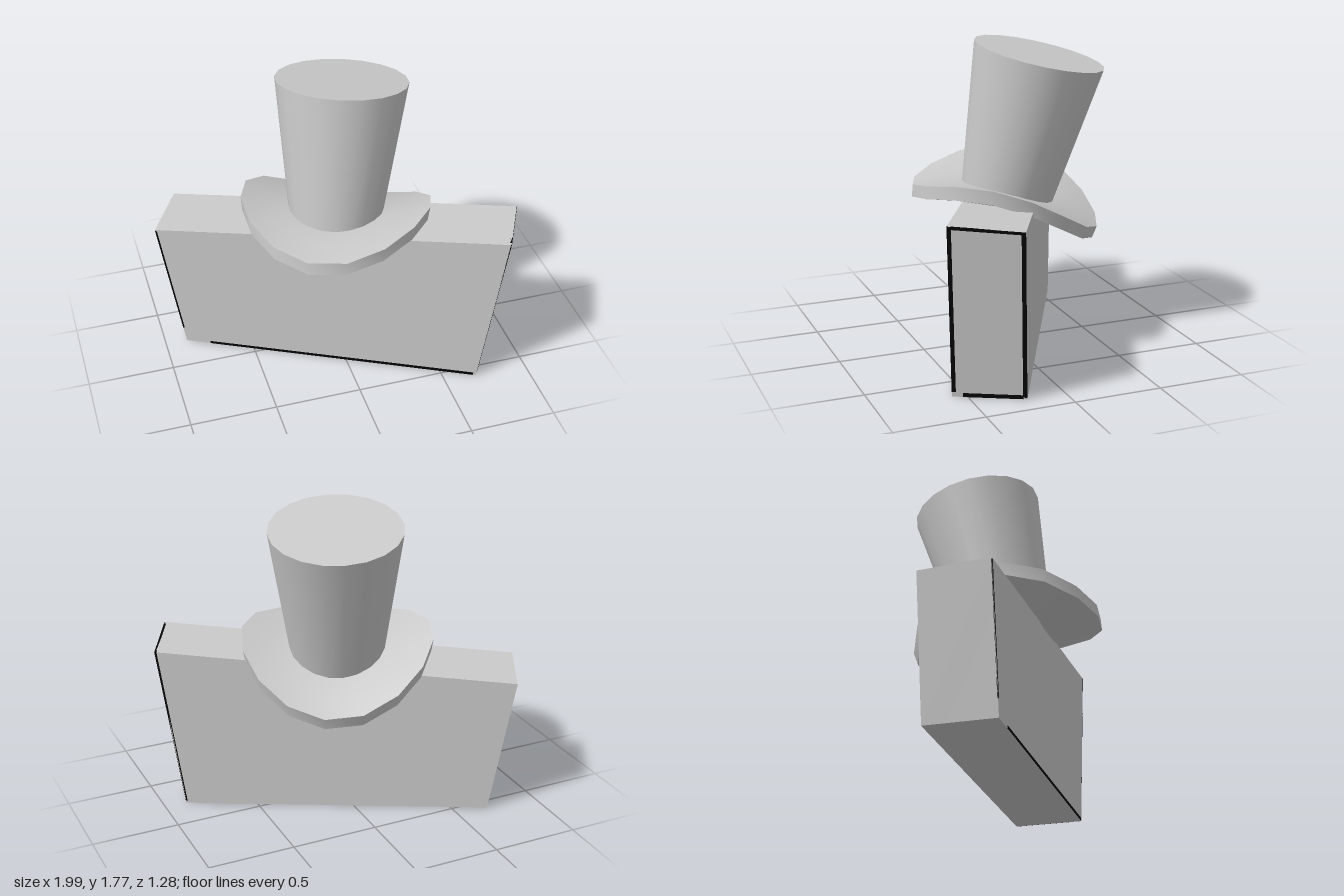
import * as THREE from 'three';
import { toCreasedNormals } from 'three/addons/utils/BufferGeometryUtils.js';

const deg = Math.PI / 180;
const TURN = 27 * deg; // heading of the block, shared by the brim's curl

const grey = new THREE.MeshStandardMaterial({ color: 0xcccccc });
const dark = new THREE.MeshStandardMaterial({ color: 0x050505 });

function addMesh(parent, name, geometry, material = grey) {
  const mesh = new THREE.Mesh(geometry, material);
  mesh.name = name;
  parent.add(mesh);
  return mesh;
}

// Move every vertex of a geometry by a rule
function reshape(geometry, rule) {
  const pos = geometry.attributes.position;
  const v = new THREE.Vector3();
  for (let i = 0; i < pos.count; i++) {
    v.fromBufferAttribute(pos, i);
    rule(v);
    pos.setXYZ(i, v.x, v.y, v.z);
  }
  return toCreasedNormals(geometry, 40 * deg);
}

// Maps x, z in [-1, 1] and y in [0, 1] to the flared block with its sloping top
function flare(v) {
  const halfLength = THREE.MathUtils.lerp(0.877, 1.015, v.y);
  const height = 0.885 + 0.083 * v.x + 0.01 * v.z;
  v.set(v.x * halfLength, v.y * height, v.z * 0.2);
}

function flaredBox([x0, x1], [y0, y1], [z0, z1]) {
  const box = new THREE.BoxGeometry(x1 - x0, y1 - y0, z1 - z0);
  box.translate((x0 + x1) / 2, (y0 + y1) / 2, (z0 + z1) / 2);
  return reshape(box, flare);
}

function createHead() {
  const head = new THREE.Group();
  head.name = 'head';
  head.rotation.y = -TURN;
  addMesh(head, 'block', flaredBox([-1, 1], [0, 1], [-1, 1]));

  // Thin dark edging around one end and along the front edges
  const end = [0.99, 1.002];
  const front = [0.98, 1.01];
  const strips = {
    endFrontEdge: [end, [0.03, 1], [0.89, 1]],
    endBackEdge: [end, [0.01, 1], [-1, -0.89]],
    endTopEdge: [end, [0.983, 1], [-0.9, 0.9]],
    endBottomEdge: [end, [0, 0.024], [-0.9, 0.7]],
    frontBottomEdge: [[-0.83, 0.98], [0, 0.018], front],
    frontSideEdge: [[-1, -0.99], [0.12, 0.99], front],
  };
  for (const [name, ranges] of Object.entries(strips)) {
    addMesh(head, name, flaredBox(...ranges), dark);
  }
  return head;
}

function createHat() {
  const hat = new THREE.Group();
  hat.name = 'hat';
  hat.position.set(0.01, 0.93, -0.02);
  hat.quaternion.setFromUnitVectors(
    new THREE.Vector3(0, 1, 0),
    new THREE.Vector3(0.105, 1, -0.2).normalize()
  );

  // Brim: a thick disc curled up on two opposite sides and down on the others
  const profile = [
    [0, -0.075], [0.27, -0.075], [0.4, -0.075], [0.535, -0.075],
    [0.545, 0], [0.4, 0], [0.27, 0], [0, 0],
  ].map(([r, y]) => new THREE.Vector2(r, y));
  const disc = new THREE.LatheGeometry(profile, 16, 12.5 * deg);
  addMesh(hat, 'brim', reshape(disc, (v) => {
    const r = Math.hypot(v.x, v.z) / 0.545;
    v.y += 0.1 * r * r * Math.cos(2 * (Math.atan2(v.z, v.x) - TURN));
  }));

  // Crown: a closed tube that widens towards the top
  const crown = addMesh(hat, 'crown', new THREE.CylinderGeometry(0.372, 0.262, 0.84, 20));
  crown.position.y = 0.36;
  return hat;
}

export function createModel() {
  const model = new THREE.Group();
  model.name = 'hattedBlock';
  model.add(createHead(), createHat());
  return model;
}
